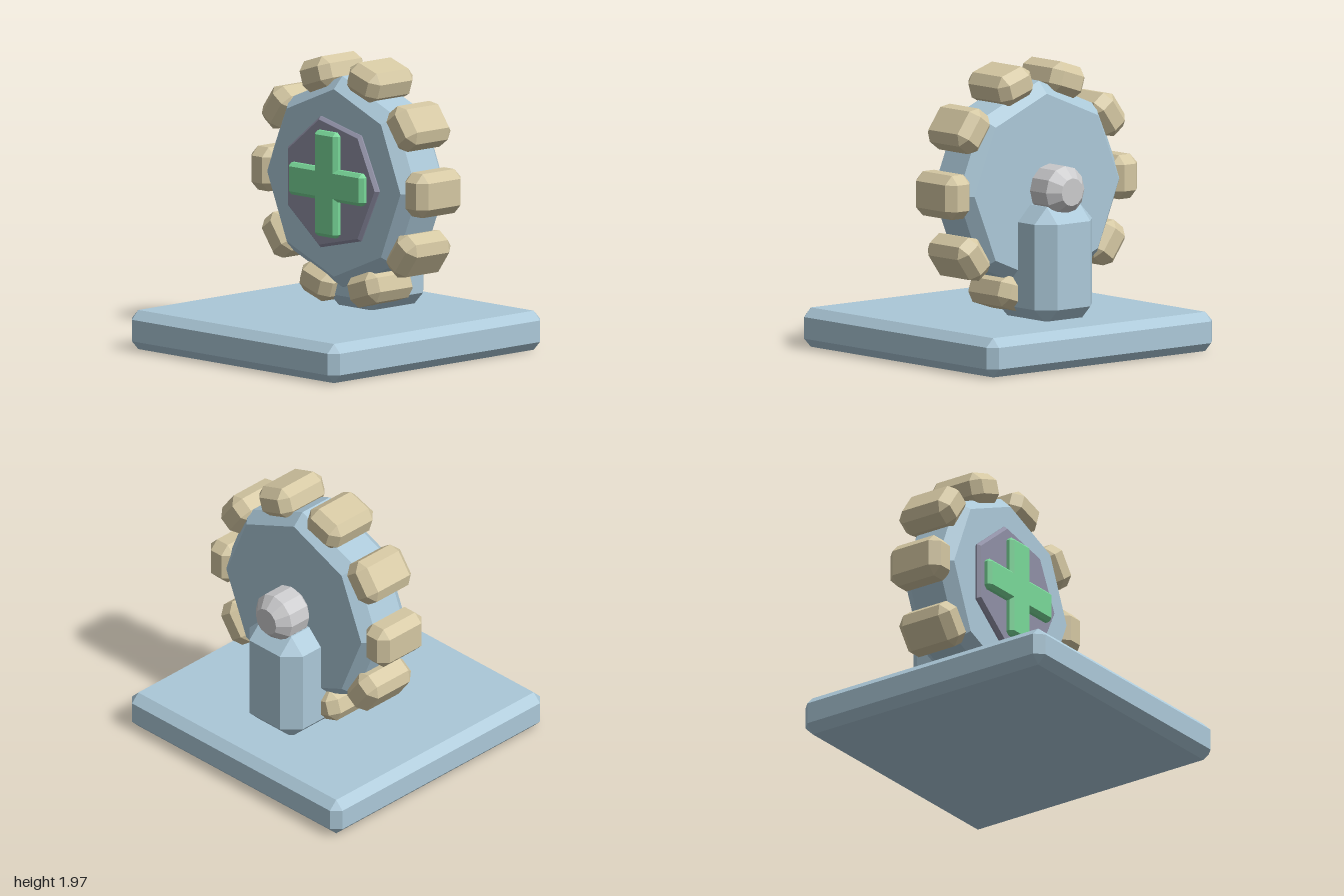
import * as THREE from 'three';
import { ConvexGeometry } from 'three/addons/geometries/ConvexGeometry.js';

const material = (name, color) => {
  const m = new THREE.MeshStandardMaterial({ color });
  m.name = name;
  return m;
};

// Box with every edge and corner cut by c
function chamferBox(w, h, d, c) {
  const points = [];
  for (const x of [-w / 2, w / 2]) for (const y of [-h / 2, h / 2]) for (const z of [-d / 2, d / 2]) {
    const ix = x - Math.sign(x) * c, iy = y - Math.sign(y) * c, iz = z - Math.sign(z) * c;
    points.push(new THREE.Vector3(x, iy, iz), new THREE.Vector3(ix, y, iz), new THREE.Vector3(ix, iy, z));
  }
  return new ConvexGeometry(points);
}

// Flat-sided disc along z from z0 to z1 with chamfered rims
function chamferDisc(r, z0, z1, c, sides, start = 0) {
  const profile = [[0, z0], [r - c, z0], [r, z0 + c], [r, z1 - c], [r - c, z1], [0, z1]]
    .map(([x, y]) => new THREE.Vector2(x, y));
  const g = new THREE.LatheGeometry(profile, sides, start).rotateX(Math.PI / 2).toNonIndexed();
  g.computeVertexNormals();
  return g;
}

export function createModel() {
  const model = new THREE.Group();
  const blue = material('pale blue', 0xabc8d8);
  const tan = material('tan', 0xd4c7a2);
  const purple = material('grey purple', 0x8f8fa5);
  const green = material('green', 0x79d899);
  const grey = material('light grey', 0xcacacc);

  const add = (parent, name, geometry, mat, x = 0, y = 0, z = 0) => {
    const mesh = new THREE.Mesh(geometry, mat);
    mesh.name = name;
    mesh.position.set(x, y, z);
    parent.add(mesh);
    return mesh;
  };

  // Stand
  add(model, 'base', chamferBox(2, 0.267, 2, 0.06), blue, 0, 0.1335, 0);
  add(model, 'post', chamferBox(0.51, 0.8, 0.595, 0.11), blue, 0, 0.64, -0.3825);

  // Wheel assembly around its hub
  const wheel = new THREE.Group();
  wheel.name = 'wheel';
  wheel.position.y = 1.138;
  model.add(wheel);
  add(wheel, 'wheelBody', chamferDisc(0.72, -0.4, 0.02, 0.08, 8), blue);
  add(wheel, 'axle', chamferDisc(0.17, -0.35, -0.665, 0, 12), grey).visible = true;
  wheel.children[1].geometry = chamferDisc(0.17, -0.665, -0.35, 0.075, 12);
  add(wheel, 'facePlate', chamferDisc(0.46, 0.015, 0.066, 0.022, 7, Math.PI / 2), purple);

  // Ten knobs around the rim
  const knob = chamferBox(0.22, 0.3, 0.42, 0.06);
  for (let i = 0; i < 10; i++) {
    const a = i * Math.PI / 5;
    add(wheel, 'knob', knob, tan, 0.74 * Math.cos(a), 0.74 * Math.sin(a), -0.19).rotation.z = a;
  }

  // Cross on the face plate
  const bar = chamferBox(0.72, 0.22, 0.075, 0.025);
  add(wheel, 'crossBar', bar, green, 0, 0, 0.0785);
  add(wheel, 'crossUpright', bar, green, 0, 0, 0.0785).rotation.z = Math.PI / 2;
  return model;
}
